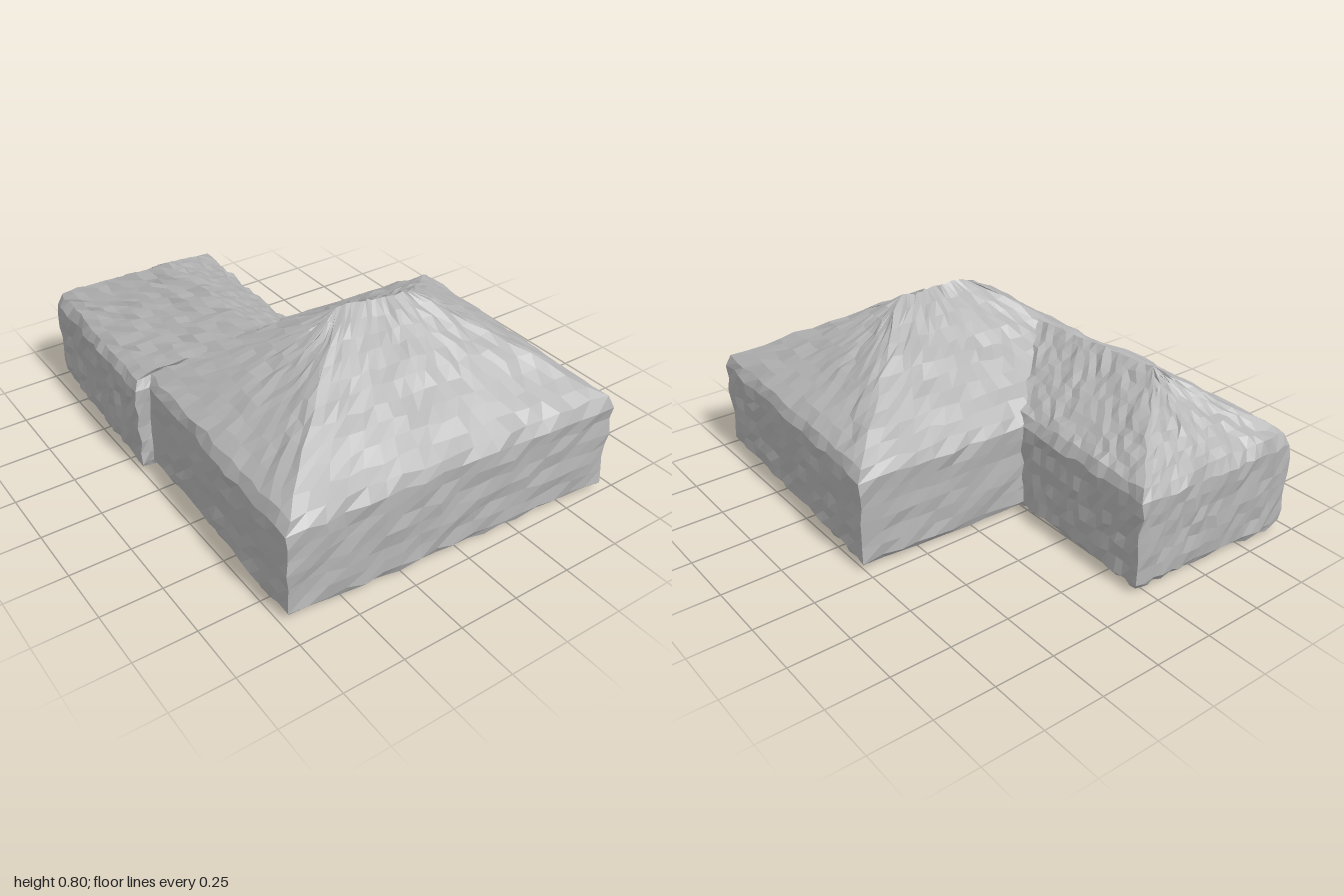
import * as THREE from 'three';

const V = (x, y, z) => new THREE.Vector3(x, y, z);

// Repeatable roughness: the same position always gets the same offset, so seams stay closed
function hash(p, seed) {
  const k = Math.round(p.x * 500) * 12.9898 + Math.round(p.y * 500) * 78.233 + Math.round(p.z * 500) * 37.719;
  const s = Math.sin(k + seed * 91.7) * 43758.5453;
  return s - Math.floor(s) - 0.5;
}
function roughen(p) {
  const a = 0.016;
  const q = V(p.x + a * hash(p, 1), p.y + a * hash(p, 2), p.z + a * hash(p, 3));
  q.y = Math.max(0, q.y);
  return q;
}

// Subdivided four-cornered patch: a-b along the bottom, d-c along the top
function patch(out, a, b, c, d, nu, nv) {
  const at = (i, j) => {
    const low = a.clone().lerp(b, i / nu), high = d.clone().lerp(c, i / nu);
    return roughen(low.lerp(high, j / nv));
  };
  for (let i = 0; i < nu; i++) {
    for (let j = 0; j < nv; j++) {
      const p = at(i, j), q = at(i + 1, j), r = at(i + 1, j + 1), s = at(i, j + 1);
      for (const t of [[p, q, r], [p, r, s]]) {
        if (t[0].distanceTo(t[1]) < 1e-6 || t[1].distanceTo(t[2]) < 1e-6 || t[0].distanceTo(t[2]) < 1e-6) continue;
        t.forEach((v) => out.push(v.x, v.y, v.z));
      }
    }
  }
}

function toMesh(name, positions, material) {
  const g = new THREE.BufferGeometry();
  g.setAttribute('position', new THREE.Float32BufferAttribute(positions, 3));
  g.computeVertexNormals();
  const m = new THREE.Mesh(g, material);
  m.name = name;
  return m;
}

// Walls with softened edges under a hipped roof.
// corners [x, z]: front left, front right, back right, back left; tops: ridge point over each corner
function hippedBlock(name, corners, tops, material) {
  const n = 18;
  const cx = corners.reduce((s, c) => s + c[0], 0) / 4;
  const cz = corners.reduce((s, c) => s + c[1], 0) / 4;
  const ring = (y, inset) => corners.map(([x, z]) =>
    V(x - Math.sign(x - cx) * inset, y, z - Math.sign(z - cz) * inset));
  const rings = [ring(0.015, 0.025), ring(0.045, 0.005), ring(0.4, 0), ring(0.445, 0.022)];
  const steps = [1, 6, 1];
  const walls = [], roof = [], base = [];
  for (let i = 0; i < 4; i++) {
    const k = (i + 1) % 4;
    steps.forEach((nv, r) => patch(walls, rings[r][i], rings[r][k], rings[r + 1][k], rings[r + 1][i], n, nv));
    patch(roof, rings[3][i], rings[3][k], tops[k], tops[i], n, 10);
  }
  const b = rings[0];
  patch(base, b[3], b[2], b[1], b[0], n, n);

  const group = new THREE.Group();
  group.name = name;
  group.add(toMesh('walls', walls, material), toMesh('roof', roof, material), toMesh('base', base, material));
  return group;
}

export function createModel() {
  const stone = new THREE.MeshStandardMaterial({ color: 0xb4b4b4, flatShading: true });
  stone.name = 'light grey';

  const model = new THREE.Group();
  model.name = 'house';

  // Main house, ridge running side to side
  const left = V(-0.13, 0.805, 0.345), right = V(0.18, 0.79, 0.38);
  model.add(hippedBlock('mainHouse',
    [[-0.735, 0.9], [0.7, 0.985], [0.76, -0.205], [-0.69, -0.27]],
    [left, right, right, left], stone));

  // Rear wing, ridge running back from the main roof
  const front = V(-0.325, 0.65, 0.1), back = V(-0.36, 0.67, -0.54);
  model.add(hippedBlock('rearWing',
    [[-0.755, -0.13], [0.02, -0.18], [0.045, -0.935], [-0.715, -0.97]],
    [front, front, back, back], stone));

  return model;
}
